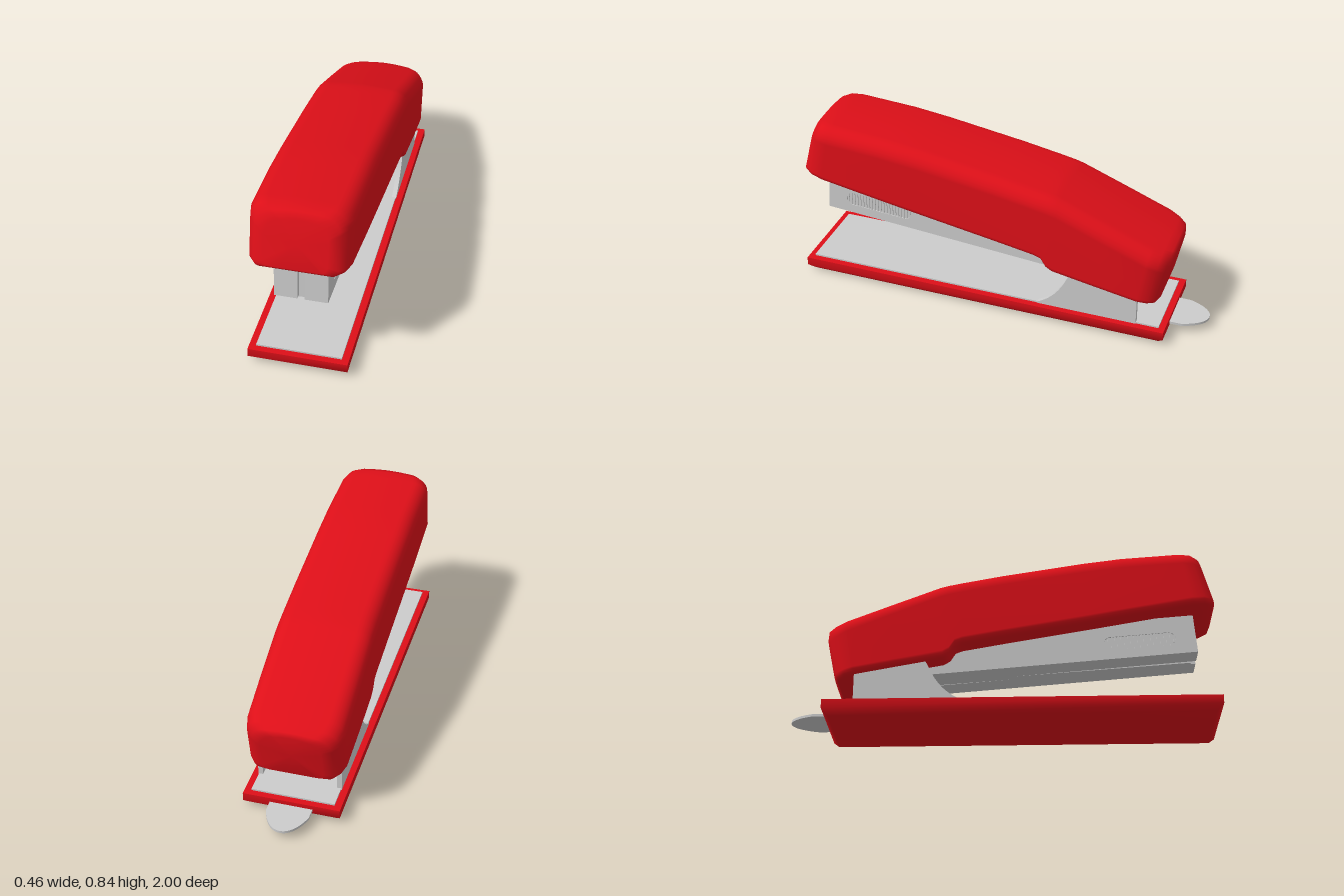
import * as THREE from 'three';
import { toCreasedNormals } from 'three/addons/utils/BufferGeometryUtils.js';

const red = new THREE.MeshStandardMaterial({ color: 0xdd0f18 });
const grey = new THREE.MeshStandardMaterial({ color: 0xcccccc });

function addMesh(parent, name, geometry, material) {
  const mesh = new THREE.Mesh(geometry, material);
  mesh.name = name;
  parent.add(mesh);
  return mesh;
}

// Side outline in (z, y), extruded across x from x0 to x1
function sidePlate(shape, x0, x1) {
  const g = new THREE.ExtrudeGeometry(shape, { depth: x1 - x0, bevelEnabled: false, curveSegments: 12 });
  g.rotateY(-Math.PI / 2);
  g.translate(x1, 0, 0);
  return g;
}

const polygon = (pts) => new THREE.Shape(pts.map(([z, y]) => new THREE.Vector2(z, y)));

// Right half of a rounded section, bottom centre to top centre, then mirrored
function coverSection(w, h) {
  const rb = 0.028, rt = 0.075, crown = 0.008;
  const half = [[w * 0.5, 0]];
  for (let i = 0; i <= 4; i++) {
    const a = -Math.PI / 2 + (i / 4) * Math.PI / 2;
    half.push([w - rb + rb * Math.cos(a), rb + rb * Math.sin(a)]);
  }
  for (let i = 0; i <= 7; i++) {
    const a = (i / 7) * Math.PI / 2;
    half.push([w - rt + rt * Math.cos(a), h - crown - rt + rt * Math.sin(a)]);
  }
  half.push([(w - rt) * 0.5, h - crown * 0.25]);
  const left = half.map(([x, y]) => [-x, y]).reverse();
  return [[0, 0], ...half, [0, h], ...left];
}

// Cover lofted through slanted sections: bottom z, y, top z, y, half width
function coverGeometry() {
  const stations = [
    [1.0, 0.577, 0.937, 0.795, 0.14],
    [0.99, 0.561, 0.92, 0.828, 0.185],
    [0.95, 0.551, 0.885, 0.836, 0.212],
    [0.89, 0.541, 0.83, 0.833, 0.226],
    [0.6, 0.49, 0.56, 0.813, 0.228],
    [0.4, 0.455, 0.38, 0.79, 0.228],
    [0, 0.387, 0, 0.73, 0.228],
    [-0.19, 0.353, -0.19, 0.695, 0.228],
    [-0.225, 0.34, -0.225, 0.688, 0.228],
    [-0.25, 0.3, -0.26, 0.681, 0.228],
    [-0.28, 0.282, -0.3, 0.67, 0.228],
    [-0.5, 0.242, -0.53, 0.581, 0.228],
    [-0.69, 0.207, -0.74, 0.5, 0.226],
    [-0.735, 0.198, -0.79, 0.48, 0.212],
    [-0.768, 0.192, -0.825, 0.466, 0.185],
    [-0.785, 0.202, -0.836, 0.445, 0.14],
  ];
  const pos = [], idx = [];
  let n = 0;
  for (const [zb, yb, zt, yt, w] of stations) {
    const h = yt - yb;
    const ring = coverSection(w, h);
    n = ring.length;
    for (const [x, y] of ring) pos.push(x, yb + y, zb + (zt - zb) * (y / h));
  }
  for (let i = 0; i < stations.length - 1; i++) {
    for (let j = 0; j < n; j++) {
      const k = (j + 1) % n;
      const a = i * n + j, b = i * n + k, c = a + n, d = b + n;
      idx.push(a, c, b, b, c, d);
    }
  }
  // End caps
  const last = (stations.length - 1) * n;
  const caps = [[stations[0], 0], [stations[stations.length - 1], last]];
  caps.forEach(([[zb, yb, zt, yt], start], side) => {
    const centre = pos.length / 3;
    pos.push(0, (yb + yt) / 2, (zb + zt) / 2);
    for (let j = 0; j < n; j++) {
      const a = start + j, b = start + (j + 1) % n;
      if (side === 0) idx.push(centre, a, b);
      else idx.push(centre, b, a);
    }
  });
  const g = new THREE.BufferGeometry();
  g.setAttribute('position', new THREE.Float32BufferAttribute(pos, 3));
  g.setIndex(idx);
  g.computeVertexNormals();
  return g;
}

// Base slab with its lower edge drawn in
function baseGeometry() {
  const g = new THREE.BoxGeometry(0.454, 1, 1.83, 1, 2, 1);
  const p = g.attributes.position;
  for (let i = 0; i < p.count; i++) {
    const y = p.getY(i);
    p.setY(i, y > 0.1 ? 0.072 : y < -0.1 ? 0 : 0.03);
    if (y < -0.1) {
      p.setX(i, Math.sign(p.getX(i)) * 0.198);
      p.setZ(i, Math.sign(p.getZ(i)) * 0.885);
    }
  }
  g.translate(0, 0, 0.085);
  return toCreasedNormals(g, 0.9);
}

// Capsule outline for the grip, along a sloping line
function capsule(PathType, z0, y0, z1, y1, r) {
  const a = Math.atan2(y1 - y0, z1 - z0);
  const path = new PathType();
  path.absarc(z1, y1, r, a - Math.PI / 2, a + Math.PI / 2, false);
  path.absarc(z0, y0, r, a + Math.PI / 2, a + Math.PI * 1.5, false);
  path.closePath();
  return path;
}

export function createModel() {
  const model = new THREE.Group();
  model.name = 'stapler';

  addMesh(model, 'topCover', coverGeometry(), red);
  addMesh(model, 'base', baseGeometry(), red);

  // Metal tray on the base
  const tray = addMesh(model, 'basePlate', new THREE.BoxGeometry(0.39, 0.02, 1.77), grey);
  tray.position.set(0, 0.07, 0.085);

  // Magazine arm: two halves around a recessed core
  const arm = new THREE.Group();
  arm.name = 'magazineArm';
  model.add(arm);
  const outline = [[0.91, 0.335], [0.895, 0.525], [-0.74, 0.395], [-0.74, 0.203]];
  const core = [[0.885, 0.326], [0.875, 0.495], [-0.73, 0.365], [-0.73, 0.21]];
  addMesh(arm, 'magazineCore', sidePlate(polygon(core), -0.016, 0.016), grey);

  const grip = [0.505, 0.382, 0.775, 0.403];
  const radius = 0.034;
  for (const s of [-1, 1]) {
    const name = s > 0 ? 'left' : 'right';
    const span = (a, b) => (s > 0 ? [a, b] : [-b, -a]);
    addMesh(arm, name + 'ArmHalf', sidePlate(polygon(outline), ...span(0.016, 0.114)), grey);
    const skin = polygon(outline);
    skin.holes.push(capsule(THREE.Path, ...grip, radius));
    addMesh(arm, name + 'ArmSide', sidePlate(skin, ...span(0.114, 0.121)), grey);

    // Upright ribs inside the grip slot
    const ribs = new THREE.Group();
    ribs.name = name + 'GripRibs';
    arm.add(ribs);
    const count = 22;
    for (let i = 0; i < count; i++) {
      const z = grip[0] - radius + ((i + 0.5) / count) * (grip[2] - grip[0] + 2 * radius);
      const over = Math.max(0, grip[0] - z, z - grip[2]);
      const h = 2 * Math.sqrt(Math.max(0, radius * radius - over * over));
      const y = grip[1] + ((z - grip[0]) / (grip[2] - grip[0])) * (grip[3] - grip[1]);
      const rib = addMesh(ribs, 'gripRib', new THREE.BoxGeometry(0.007, h, 0.008), grey);
      rib.position.set(s * 0.1165, y, z);
    }

    // Hinge bracket cheek with a hollow front curve
    const cheek = new THREE.Shape();
    cheek.moveTo(-0.69, 0.07);
    cheek.lineTo(-0.69, 0.3);
    cheek.lineTo(-0.38, 0.3);
    cheek.lineTo(-0.35, 0.25);
    cheek.quadraticCurveTo(-0.3, 0.125, -0.2, 0.078);
    cheek.lineTo(-0.2, 0.07);
    cheek.closePath();
    const geometry = toCreasedNormals(sidePlate(cheek, ...span(0.176, 0.198)), 0.5);
    addMesh(model, name + 'HingeBracket', geometry, grey);
  }

  // Rounded tongue at the rear, drawn in (x, -z)
  const tongue = new THREE.Shape();
  tongue.moveTo(-0.1, 0.7);
  tongue.lineTo(0.1, 0.7);
  tongue.lineTo(0.1, 0.885);
  tongue.bezierCurveTo(0.08, 0.95, 0.045, 1.0, 0, 1.0);
  tongue.bezierCurveTo(-0.045, 1.0, -0.08, 0.95, -0.1, 0.885);
  tongue.closePath();
  const tongueGeometry = new THREE.ExtrudeGeometry(tongue, { depth: 0.012, bevelEnabled: false, curveSegments: 12 });
  tongueGeometry.rotateX(-Math.PI / 2);
  tongueGeometry.translate(0, 0.039, 0);
  addMesh(model, 'rearTongue', toCreasedNormals(tongueGeometry, 0.5), grey);

  return model;
}
